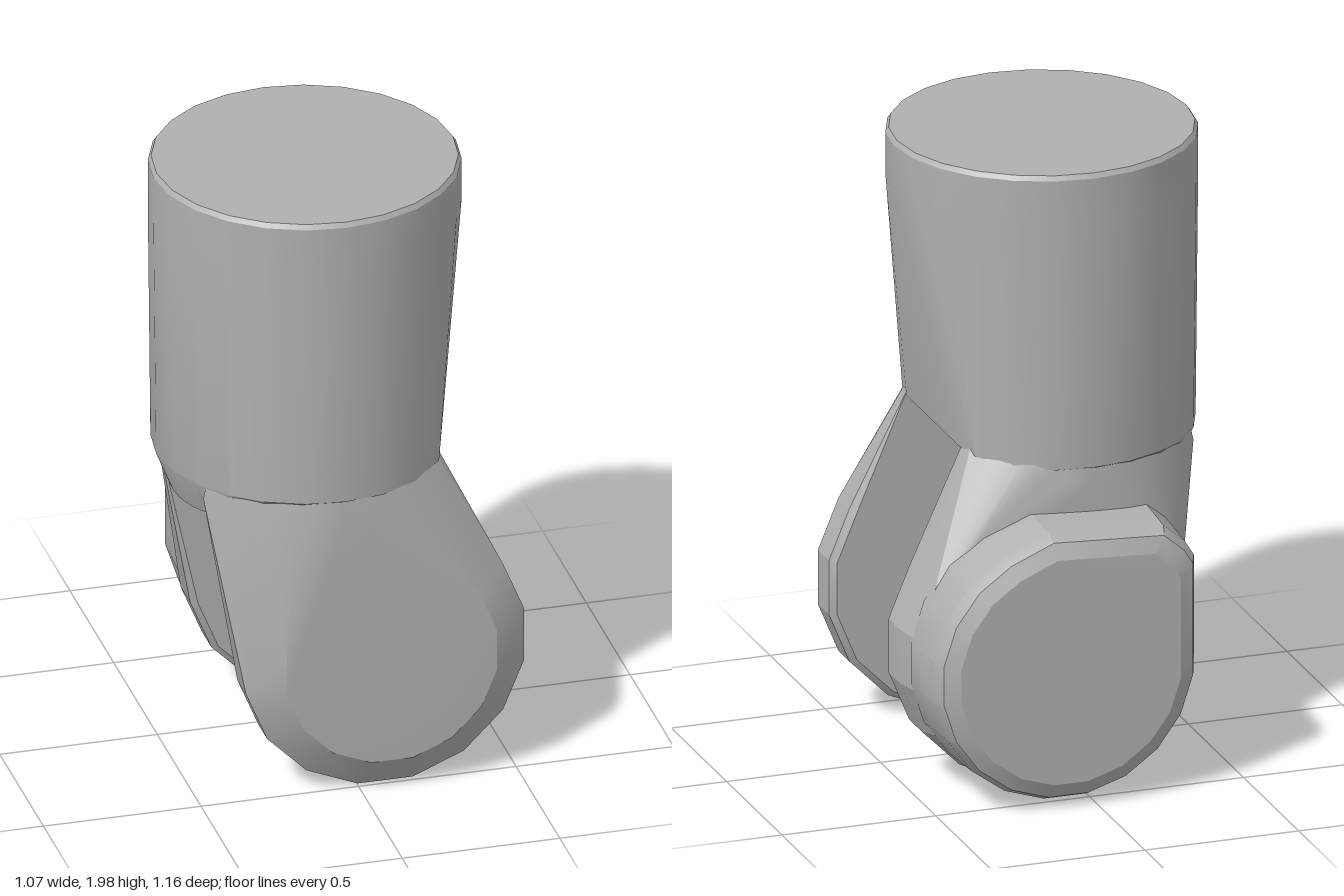
import * as THREE from 'three';
import { ConvexGeometry } from 'three/addons/geometries/ConvexGeometry.js';
import { toCreasedNormals } from 'three/addons/utils/BufferGeometryUtils.js';

const POST = { x: -0.06, z: 0.1 };   // axis of the round post
const PIVOT = { x: 0.09, y: 0.46 };  // centre of the fork's round ends

// Horizontal slice of the post between z0 and z1, cut flat at xMax; y is a function of x
function slice(yAt, r, z0 = -1, z1 = 1, xMax = 1, n = 12) {
  const angle = (z) => Math.asin(THREE.MathUtils.clamp((z - POST.z) / r, -1, 1));
  const a = angle(z0), b = angle(z1), points = [];
  for (let i = 0; i <= n; i++) {
    const t = a + ((b - a) * i) / n;
    for (const side of [-1, 1]) {
      const x = Math.min(xMax, POST.x + side * r * Math.cos(t));
      points.push(new THREE.Vector3(x, yAt(x), POST.z + r * Math.sin(t)));
    }
  }
  return points;
}

// Upright disc outline around the pivot
function disc(r, z, n = 16) {
  return Array.from({ length: n }, (_, i) => {
    const t = ((i + 0.5) / n) * Math.PI * 2;
    return new THREE.Vector3(PIVOT.x + r * Math.cos(t), PIVOT.y + r * Math.sin(t), z);
  });
}

export function createModel() {
  const group = new THREE.Group();
  const grey = new THREE.MeshStandardMaterial({ color: 0xb0b0b0 });
  grey.name = 'grey';

  function addHull(name, points, crease = 0.4) {
    const mesh = new THREE.Mesh(toCreasedNormals(new ConvexGeometry(points), crease), grey);
    mesh.name = name;
    group.add(mesh);
  }

  // Round post: flattened on the left toward the bottom, with a sloping underside
  const under = (x) => 0.91 + (x + 0.48) * 0.21;
  addHull('post', [
    ...slice(() => 2, 0.47),
    ...slice(() => 1.985, 0.48),
    ...slice(() => 1.85, 0.48),
    ...slice((x) => Math.max(1.04, under(x)), 0.472, -1, 1, 0.295),
    ...slice(under, 0.42, -0.14, 0.36, 0.29),
  ]);

  // Fork arms: blend from a slice of the post down to a bevelled round end
  const arms = [
    { name: 'frontArm', z: [0.36, 1], end: [[0.43, 0.36], [0.45, 0.38], [0.45, 0.48], [0.34, 0.56]] },
    { name: 'backArm', z: [-1, -0.14], end: [[0.43, -0.14], [0.45, -0.16], [0.45, -0.27], [0.43, -0.35]] },
  ];
  for (const { name, z, end } of arms) {
    addHull(name, [
      ...slice(() => 1.09, 0.455, ...z, 0.28),
      ...slice(() => 1.0, 0.472, ...z, 0.29),
      ...end.flatMap(([r, depth]) => disc(r, depth)),
    ], 0.3);
  }

  // Boss on the back arm: round, with one squared upper corner and a bevelled face
  const corner = [[-0.43, 0], [-0.43, 0.32], [-0.4, 0.37], [-0.33, 0.43], [0.05, 0.45]];
  const boss = [[1, -0.33], [0.98, -0.52], [0.94, -0.56], [0.83, -0.585]].flatMap(([s, z]) => [
    ...disc(0.435 * s, z, 20),
    ...corner.map(([x, y]) => new THREE.Vector3(PIVOT.x + x * s, PIVOT.y + y * s, z)),
  ]);
  addHull('boss', boss);

  return group;
}
